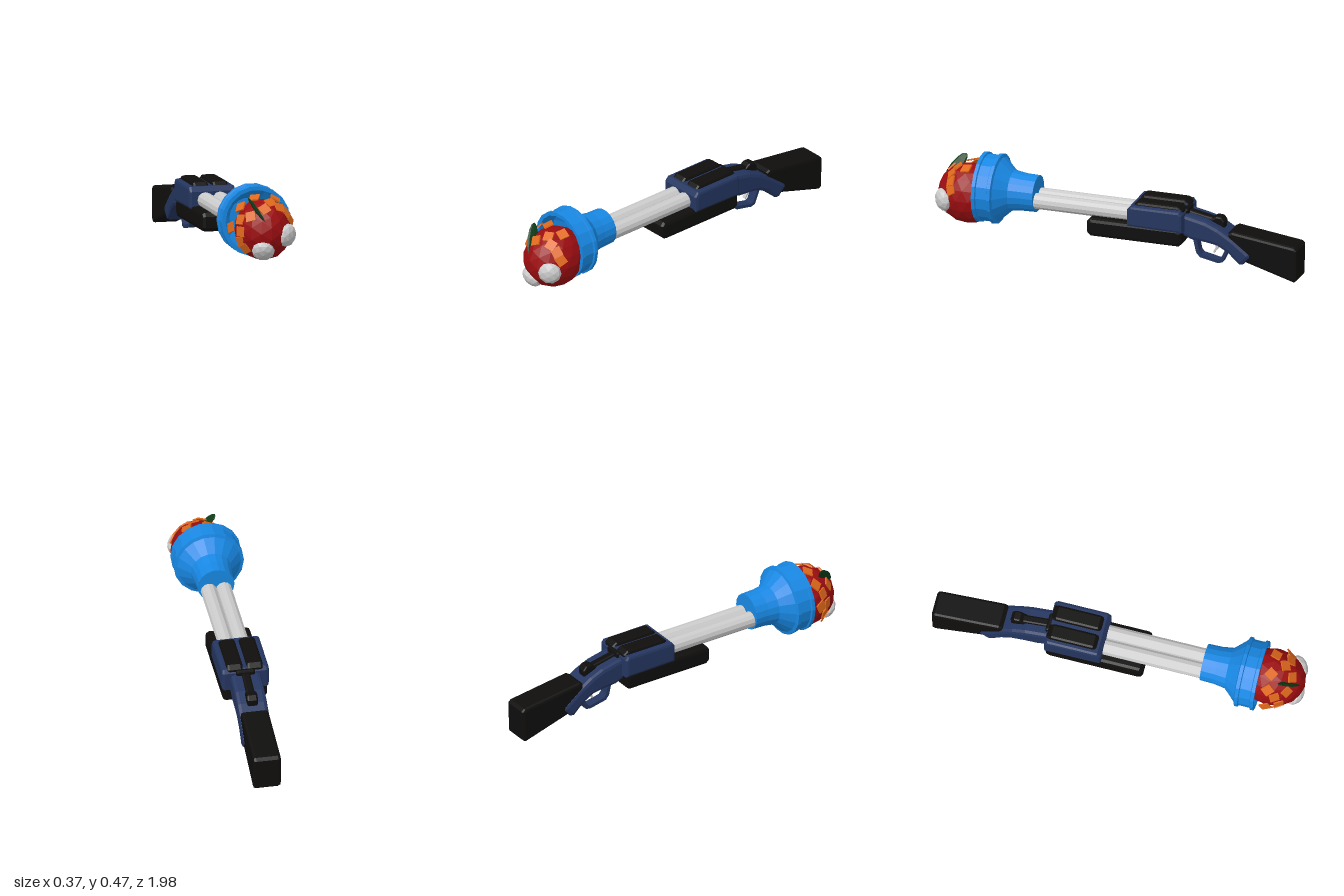
import * as THREE from 'three';
import { RoundedBoxGeometry } from 'three/addons/geometries/RoundedBoxGeometry.js';

const mat = (color, side = THREE.FrontSide) =>
  new THREE.MeshStandardMaterial({ color, flatShading: true, side });

const MATS = {
  blue: mat(0x1888e4, THREE.DoubleSide),
  navy: mat(0x24355f),
  black: mat(0x0f0e0d),
  red: mat(0x9c0d10),
  orange: mat(0xe0691c),
  green: mat(0x103d1a),
  grey: mat(0xcccccc),
};

export function createModel() {
  const model = new THREE.Group();
  model.name = 'blunderbuss';

  const add = (name, geometry, material, parent = model) => {
    const mesh = new THREE.Mesh(geometry, MATS[material]);
    mesh.name = name;
    parent.add(mesh);
    return mesh;
  };

  // Side outline as [z, y] points, extruded across x with a chamfer
  const slab = (points, width, bevel) => {
    const shape = new THREE.Shape(points.map(([z, y]) => new THREE.Vector2(-z, y)));
    const g = new THREE.ExtrudeGeometry(shape, {
      depth: width - 2 * bevel, bevelEnabled: true, bevelSegments: 2,
      bevelSize: bevel, bevelThickness: bevel, bevelOffset: -bevel,
    });
    g.translate(0, 0, bevel - width / 2);
    return g.rotateY(Math.PI / 2);
  };

  // Stock
  add('stock', slab([
    [-0.98, 0.005], [-0.997, 0.02], [-1.0, 0.185], [-0.985, 0.2],
    [-0.64, 0.247], [-0.62, 0.235], [-0.62, 0.16], [-0.72, 0.083],
  ], 0.146, 0.015), 'black');

  // Curved grip behind the receiver
  add('grip', slab([
    [-0.36, 0.2], [-0.36, 0.315], [-0.41, 0.305], [-0.5, 0.285], [-0.57, 0.255],
    [-0.65, 0.205], [-0.74, 0.135], [-0.745, 0.115], [-0.7, 0.07], [-0.68, 0.068],
    [-0.62, 0.125], [-0.56, 0.158], [-0.5, 0.168], [-0.42, 0.175],
  ], 0.16, 0.02), 'navy');

  // Receiver
  add('receiver', slab([
    [-0.08, 0.225], [-0.08, 0.315], [-0.1, 0.34], [-0.37, 0.34], [-0.385, 0.32], [-0.385, 0.22],
  ], 0.25, 0.015), 'navy');

  // Pair of top covers
  for (const s of [-1, 1]) {
    add('topCover', slab([
      [-0.11, 0.31], [-0.11, 0.338], [-0.13, 0.357], [-0.355, 0.357], [-0.38, 0.338], [-0.38, 0.31],
    ], 0.086, 0.014), 'black').position.x = s * 0.053;
  }

  // Fore grip under the barrels
  add('foreGrip', slab([
    [0.12, 0.14], [0.142, 0.16], [0.142, 0.22], [0.125, 0.24],
    [-0.36, 0.24], [-0.38, 0.22], [-0.38, 0.16], [-0.36, 0.14],
  ], 0.236, 0.02), 'black');

  // Twin barrels
  for (const s of [-1, 1]) {
    const g = new THREE.CylinderGeometry(0.042, 0.042, 0.62, 12).rotateX(Math.PI / 2);
    add('barrel', g, 'grey').position.set(s * 0.04, 0.27, 0.18);
  }

  // Opening lever: base strip, neck and thumb piece
  const lever = new THREE.Group();
  lever.name = 'lever';
  model.add(lever);
  add('leverBase', new RoundedBoxGeometry(0.1, 0.05, 0.04, 1, 0.01), 'black', lever).position.set(0, 0.31, -0.375);
  const neck = add('leverNeck', new RoundedBoxGeometry(0.045, 0.035, 0.17, 1, 0.01), 'black', lever);
  neck.position.set(0, 0.29, -0.45);
  neck.rotation.x = -0.2;
  add('thumbPiece', slab([
    [-0.5, 0.255], [-0.51, 0.285], [-0.54, 0.305], [-0.57, 0.303], [-0.588, 0.28], [-0.585, 0.245],
  ], 0.058, 0.01), 'black', lever);

  // Trigger guard: flat strip outline with a hole
  const loop = pts => pts.map(([z, y]) => new THREE.Vector2(-z, y));
  const guardShape = new THREE.Shape(loop([
    [-0.41, 0.18], [-0.43, 0.09], [-0.45, 0.066], [-0.55, 0.045], [-0.575, 0.052], [-0.605, 0.12], [-0.605, 0.16]]));
  guardShape.holes.push(new THREE.Path(loop([
    [-0.432, 0.176], [-0.447, 0.1], [-0.46, 0.082], [-0.55, 0.062], [-0.565, 0.068], [-0.588, 0.122], [-0.588, 0.15]])));
  const guard = new THREE.ExtrudeGeometry(guardShape, { depth: 0.05, bevelEnabled: false });
  add('triggerGuard', guard.translate(0, 0, -0.025).rotateY(Math.PI / 2), 'navy');
  add('trigger', slab([
    [-0.52, 0.17], [-0.55, 0.17], [-0.545, 0.12], [-0.525, 0.093], [-0.518, 0.098], [-0.532, 0.125],
  ], 0.02, 0.002), 'grey');

  // Flared muzzle with two raised rings, hollow at the front
  const profile = [
    [0, 0.445], [0.097, 0.445], [0.099, 0.52], [0.108, 0.58], [0.135, 0.61], [0.168, 0.645],
    [0.185, 0.65], [0.185, 0.668], [0.176, 0.672], [0.176, 0.73], [0.185, 0.734], [0.185, 0.752],
    [0.164, 0.752], [0.158, 0.66], [0.1, 0.6], [0, 0.6],
  ].map(([r, z]) => new THREE.Vector2(r, z));
  add('muzzle', new THREE.LatheGeometry(profile, 18, Math.PI / 2).rotateX(Math.PI / 2), 'blue')
    .position.y = 0.295;

  // Round creature in the muzzle
  const creature = new THREE.Group();
  creature.name = 'creature';
  model.add(creature);
  const centre = new THREE.Vector3(0.022, 0.262, 0.81);
  const radii = new THREE.Vector3(0.148, 0.16, 0.172);
  add('body', new THREE.IcosahedronGeometry(1, 2).scale(...radii.toArray()), 'red', creature)
    .position.copy(centre);

  // Bulging eyes, flattened along the body's normal
  for (const [x, y, z, r] of [[0.118, 0.245, 0.925, 0.062], [-0.012, 0.17, 0.935, 0.06]]) {
    const eye = add('eye', new THREE.IcosahedronGeometry(r, 1).scale(1, 1, 0.65), 'grey', creature);
    eye.position.set(x, y, z);
    eye.lookAt(eye.position.clone().multiplyScalar(2).sub(centre));
  }

  // Orange scales over the top and one side: front x, y and twist
  const scales = [
    [-0.025, 0.43, 0.3], [0, 0.385, 0.6], [0.045, 0.41, 0.2], [0.088, 0.42, 0.4], [0.088, 0.385, -0.4],
    [0.125, 0.355, 0.5], [0.15, 0.315, 0.6], [-0.1, 0.385, 0.5], [-0.072, 0.348, 0.3], [-0.11, 0.325, 0.1],
    [-0.116, 0.265, 0], [-0.152, 0.28, 0.4], [-0.112, 0.21, 0.2], [-0.09, 0.175, 0.5],
  ];
  for (const [x, y, twist] of scales) {
    const u = (x - centre.x) / radii.x, v = (y - centre.y) / radii.y;
    const z = Math.max(0.775, centre.z + radii.z * Math.sqrt(Math.max(0, 1 - u * u - v * v)));
    const scale = add('scale', new THREE.BoxGeometry(0.052, 0.052, 0.008), 'orange', creature);
    scale.position.set(x, y, z);
    scale.lookAt(x + u / radii.x, y + v / radii.y, z + (z - centre.z) / radii.z ** 2 + 2);
    scale.rotateZ(twist);
  }

  // Leaf: thin pointed blade standing on the body
  const leaf = add('leaf', new THREE.SphereGeometry(1, 8, 6).scale(0.01, 0.09, 0.032), 'green', creature);
  const along = new THREE.Vector3(-0.072, 0.13, -0.09).normalize();
  const across = new THREE.Vector3(0.875, 0.485, 0).normalize();
  leaf.quaternion.setFromRotationMatrix(
    new THREE.Matrix4().makeBasis(across, along, across.clone().cross(along).normalize()));
  leaf.position.set(-0.037, 0.373, 0.908);

  return model;
}
